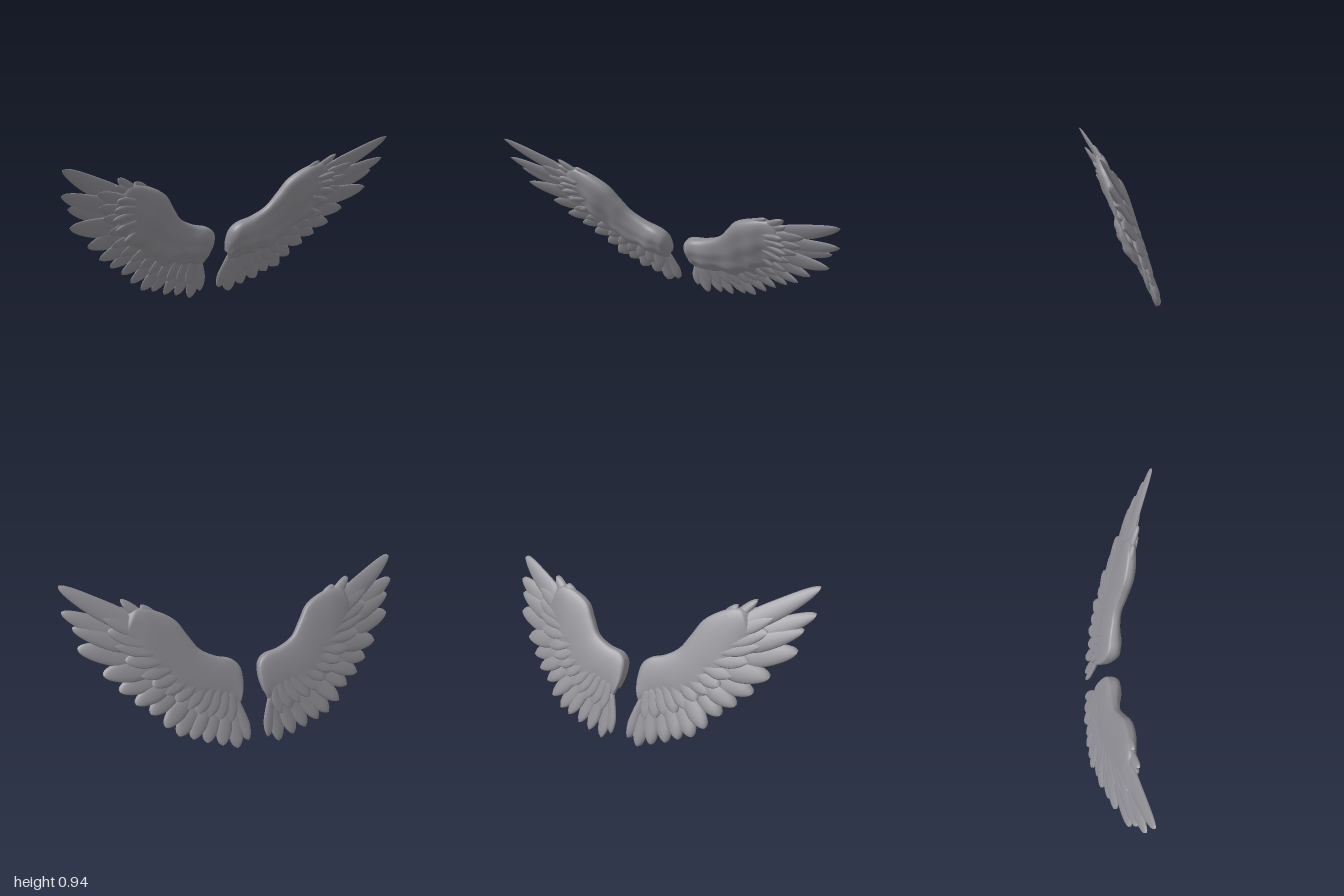
import * as THREE from 'three';

const V2 = (x, y) => new THREE.Vector2(x, y);

// Gently curved sheet that the whole wing lies on
const sheet = (x, y) => -0.19 + 0.34 * y + 0.07 * Math.pow(Math.max(0, (x - 0.55) / 0.45), 1.2);

// Closed skin through rings of [x, y, z] points, always wound outwards
function loft(rings, side) {
  const n = rings[0].length, pos = [], idx = [];
  for (const ring of rings) for (const [x, y, z] of ring) pos.push(x * side, y, z);
  for (let i = 0; i < rings.length - 1; i++) {
    for (let j = 0; j < n; j++) {
      const a = i * n + j, b = i * n + (j + 1) % n, c = a + n, d = b + n;
      idx.push(a, b, c, b, d, c);
    }
  }
  const p = (i) => new THREE.Vector3().fromArray(pos, i * 3);
  let volume = 0;
  for (let i = 0; i < idx.length; i += 3) volume += p(idx[i]).dot(p(idx[i + 1]).cross(p(idx[i + 2])));
  if (volume < 0) idx.reverse();
  const g = new THREE.BufferGeometry();
  g.setAttribute('position', new THREE.Float32BufferAttribute(pos, 3));
  g.setIndex(idx);
  g.computeVertexNormals();
  return g;
}

// Flat tapered feather from root to tip; point sets where the taper begins
function feather(side, root, tip, half, { lift = 0, thick = 0.014, bend = 0.02, point = 0.62 } = {}) {
  const dir = tip.clone().sub(root).normalize(), nor = V2(-dir.y, dir.x);
  const rings = [], steps = 18, n = 12;
  for (let i = 0; i <= steps; i++) {
    const t = Math.sin((i / steps) * Math.PI / 2);
    const mid = root.clone().lerp(tip, t).addScaledVector(nor, -bend * Math.sin(Math.PI * t));
    const k = Math.max(0, (t - point) / (1 - point));
    const w = half * (0.6 + 0.4 * Math.min(1, t / point)) * Math.sqrt(Math.max(0.0004, 1 - Math.pow(k, 1.6)));
    const h = thick * Math.sqrt(Math.max(0.002, 1 - Math.pow(k, 4))) * Math.min(1, 0.2 + t * 3);
    const ring = [];
    for (let j = 0; j < n; j++) {
      const a = (j / n) * Math.PI * 2, s = w * Math.cos(a);
      const x = mid.x + nor.x * s, y = mid.y + nor.y * s;
      ring.push([x, y, sheet(x, y) + lift + h * Math.sin(a) + 0.006 * Math.cos(a)]);
    }
    rings.push(ring);
  }
  return loft(rings, side);
}

// Flight feathers, outermost first: root x, y, tip x, y, half width, taper start
const FLIGHT = [
  [0.48, 0.66, 1.0, 0.935, 0.056, 0.45], [0.48, 0.62, 1.0, 0.8, 0.055, 0.55],
  [0.46, 0.59, 0.955, 0.72, 0.055, 0.55], [0.44, 0.56, 0.94, 0.612, 0.062, 0.6],
  [0.42, 0.53, 0.825, 0.475, 0.06, 0.6], [0.38, 0.5, 0.75, 0.385, 0.055, 0.62],
  [0.35, 0.48, 0.675, 0.315, 0.05, 0.65], [0.31, 0.46, 0.6, 0.255, 0.05, 0.7],
  [0.27, 0.44, 0.53, 0.18, 0.05, 0.7], [0.24, 0.42, 0.46, 0.12, 0.05, 0.75],
  [0.21, 0.4, 0.385, 0.095, 0.045, 0.75], [0.18, 0.38, 0.305, 0.06, 0.045, 0.75],
  [0.15, 0.37, 0.22, 0.035, 0.045, 0.75], [0.135, 0.35, 0.13, 0.005, 0.045, 0.75],
  [0.135, 0.32, 0.062, 0.04, 0.036, 0.7],
];

// Arm sections from shoulder to wrist: leading x, y, trailing x, y, front bulge
const ARM = [
  [0.065, 0.29, 0.085, 0.238, 0.015], [0.05, 0.36, 0.11, 0.235, 0.05],
  [0.06, 0.44, 0.17, 0.25, 0.078], [0.1, 0.478, 0.25, 0.265, 0.082],
  [0.19, 0.505, 0.35, 0.275, 0.066], [0.28, 0.555, 0.46, 0.315, 0.055],
  [0.34, 0.635, 0.53, 0.395, 0.062], [0.4, 0.72, 0.62, 0.47, 0.068],
  [0.52, 0.785, 0.665, 0.555, 0.055], [0.6, 0.8, 0.7, 0.63, 0.034],
  [0.65, 0.785, 0.69, 0.7, 0.012],
];

// Thick padded arm with softly rippled plumage
function arm(side) {
  const lead = new THREE.CatmullRomCurve3(ARM.map((s) => new THREE.Vector3(s[0], s[1], s[4])));
  const trail = new THREE.CatmullRomCurve3(ARM.map((s) => new THREE.Vector3(s[2], s[3], 0)));
  const rings = [], steps = 60, n = 40;
  for (let i = 0; i <= steps; i++) {
    const u = i / steps, L = lead.getPoint(u), T = trail.getPoint(u);
    const scallop = 0.012 * Math.sin(u * 50) * Math.sin(Math.PI * u);
    const ring = [];
    for (let j = 0; j < n; j++) {
      const a = (j / n) * Math.PI * 2, s = Math.sin(a);
      const v = Math.pow((1 - Math.cos(a)) / 2, 1.3);
      const reach = v * (1 + scallop * 4 * v);
      const x = L.x + (T.x - L.x) * reach, y = L.y + (T.y - L.y) * reach;
      const ripple = 1 + 0.13 * v * Math.sin(u * 34 + v * 7) + 0.1 * v * Math.sin(v * 17 - u * 9);
      const h = s > 0 ? L.z * Math.pow(s, 0.8) * ripple : 0.026 * s * Math.min(1, L.z / 0.03);
      ring.push([x, y, sheet(x, y) + h]);
    }
    rings.push(ring);
  }
  return loft(rings, side);
}

export function createModel() {
  const plumage = new THREE.MeshStandardMaterial({ color: 0x8c8c92 });
  const model = new THREE.Group();
  model.name = 'wings';

  for (const side of [1, -1]) {
    const wing = new THREE.Group();
    wing.name = side > 0 ? 'leftWing' : 'rightWing';
    const add = (name, geometry) => {
      const mesh = new THREE.Mesh(geometry, plumage);
      mesh.name = name;
      wing.add(mesh);
    };

    add('arm', arm(side));

    // Long trailing feathers
    FLIGHT.forEach(([rx, ry, tx, ty, half, point], i) => {
      add('flightFeather', feather(side, V2(rx, ry), V2(tx, ty), half,
        { point, lift: i % 2 ? 0.004 : -0.004, bend: i < 4 ? 0.018 : 0.008 }));
    });

    // Shorter coverts laid over the gaps, front and back
    for (let i = 0; i < FLIGHT.length - 2; i++) {
      const a = FLIGHT[i], b = FLIGHT[i + 1];
      const root = V2((a[0] + b[0]) / 2, (a[1] + b[1]) / 2);
      const tip = V2((a[2] + b[2]) / 2, (a[3] + b[3]) / 2);
      const end = (t) => root.clone().lerp(tip, t);
      add('frontCovert', feather(side, root, end(i < 4 ? 0.62 : 0.74), 0.042, { lift: 0.016, thick: 0.011, bend: 0.005 }));
      add('backCovert', feather(side, root, end(0.6), 0.045, { lift: -0.013, thick: 0.009, bend: 0.005 }));
    }

    // Small feathers at the wrist's leading edge
    for (const [rx, ry, tx, ty] of [[0.5, 0.7, 0.685, 0.848], [0.52, 0.7, 0.7, 0.805], [0.45, 0.71, 0.585, 0.812], [0.53, 0.68, 0.72, 0.765]]) {
      add('wristFeather', feather(side, V2(rx, ry), V2(tx, ty), 0.03, { lift: 0.006, thick: 0.016, bend: 0.008 }));
    }

    // Raised tufts on the front of the wrist
    for (const [rx, ry, tx, ty] of [[0.54, 0.67, 0.7, 0.675], [0.54, 0.64, 0.705, 0.615], [0.52, 0.6, 0.68, 0.55], [0.48, 0.56, 0.62, 0.475], [0.56, 0.7, 0.69, 0.73]]) {
      add('wristTuft', feather(side, V2(rx, ry), V2(tx, ty), 0.03, { lift: 0.038, thick: 0.016, bend: 0.006 }));
    }
    model.add(wing);
  }
  return model;
}
